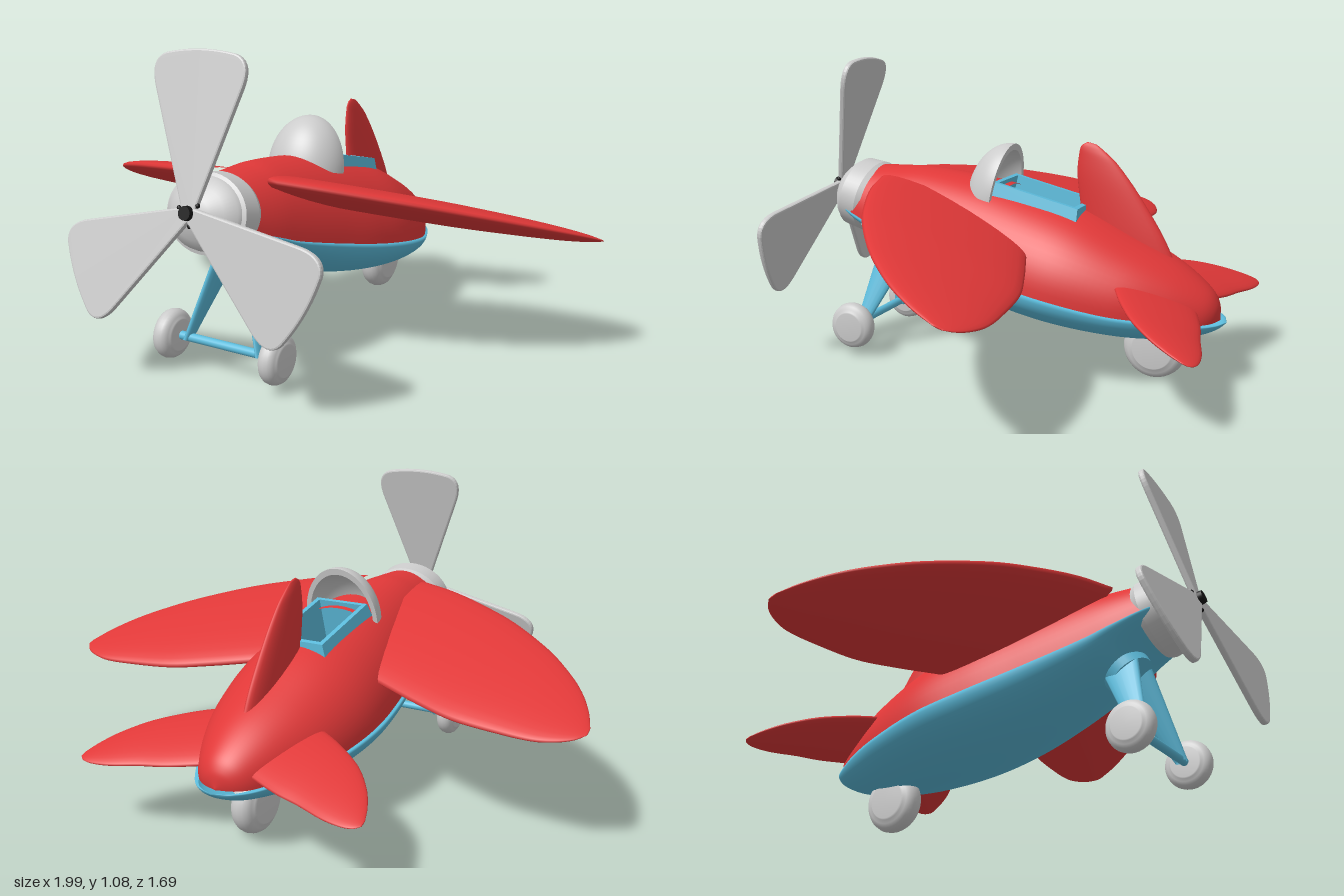
import * as THREE from 'three';

const RED = 0xe03838, BLUE = 0x5cbcdc, GREY = 0xcccccc, BLACK = 0x151515;
const mat = (color, extra = {}) => new THREE.MeshStandardMaterial({ color, ...extra });
const open = { side: THREE.DoubleSide };

function add(parent, name, geometry, material, pos = [0, 0, 0]) {
  const mesh = new THREE.Mesh(geometry, material);
  mesh.name = name;
  mesh.position.set(...pos);
  parent.add(mesh);
  return mesh;
}

// Skin over a list of cross-sections; skip(point) leaves holes
function loft(rings, closed = true, skip = () => false) {
  const n = rings[0].length, index = [];
  for (let i = 0; i < rings.length - 1; i++) {
    for (let j = 0; j < (closed ? n : n - 1); j++) {
      const k = (j + 1) % n;
      if (skip(rings[i][j], rings[i + 1][k])) continue;
      const a = i * n + j, b = a + n, c = i * n + k, d = c + n;
      index.push(a, b, c, b, d, c);
    }
  }
  const g = new THREE.BufferGeometry();
  g.setAttribute('position', new THREE.Float32BufferAttribute(rings.flat(2), 3));
  g.setIndex(index);
  g.computeVertexNormals();
  return g;
}

// Smooth hull half from rows of [z, half width, seam height, crown or keel height]
function hullHalf(rows, start, skip, lip) {
  const v = (r, a, b) => new THREE.Vector3(r[0], r[a], r[b]);
  const curve = (a, b) => new THREE.CatmullRomCurve3(rows.map(r => v(r, a, b)), false, 'catmullrom', 0.5);
  const c1 = curve(1, 2), c2 = curve(1, 3), rings = [];
  const steps = (rows.length - 1) * 8;
  for (let i = 0; i <= steps; i++) {
    const p = c1.getPoint(i / steps), q = c2.getPoint(i / steps), ring = [];
    for (let j = 0; j <= 32; j++) {
      const a = start + Math.PI * j / 32;
      ring.push([p.y * Math.cos(a), p.z + Math.abs(q.z - p.z) * Math.sin(a), p.x]);
    }
    if (lip) {
      ring.unshift([-p.y * 0.85, p.z, p.x]);
      ring.push([p.y * 0.85, p.z, p.x]);
    }
    rings.push(ring);
  }
  return loft(rings, false, skip);
}

// Leaf-shaped surface from rows of [span, leading z, trailing z], lying on y = base + slope * z
function leaf(rows, ratio, base = 0, slope = 0) {
  const lead = new THREE.CatmullRomCurve3(rows.map(r => new THREE.Vector3(...r)), false, 'catmullrom', 0.5);
  const rings = [], steps = (rows.length - 1) * 5;
  for (let i = 0; i <= steps + 1; i++) {
    const p = lead.getPoint(Math.min(i, steps) / steps);
    const zc = (p.y + p.z) / 2, h = i > steps ? 0 : (p.y - p.z) / 2, ring = [];
    for (let j = 0; j < 28; j++) {
      const a = j / 28 * Math.PI * 2, z = zc + h * Math.cos(a);
      ring.push([p.x, base + slope * z + ratio * h * Math.sin(a), z]);
    }
    rings.push(ring);
  }
  return loft(rings);
}

// Wheel with rounded tyre and raised hub caps, axle along x
function wheel(parent, name, r, pos) {
  const half = [[0, .44], [.62, .44], [.66, .38], [.78, .35], [.9, .27], [.97, .15], [1, 0]];
  const back = half.slice(0, -1).reverse().map(([a, b]) => [a, -b]);
  const pts = [...half, ...back].reverse().map(([a, b]) => new THREE.Vector2(a * r, b * r));
  const m = add(parent, name, new THREE.LatheGeometry(pts, 40), mat(GREY), pos);
  m.rotation.z = Math.PI / 2;
}

export function createModel() {
  const model = new THREE.Group();
  model.name = 'toyPlane';
  // Everything is measured from the propeller hub, nose along +z
  const plane = new THREE.Group();
  plane.name = 'plane';
  plane.rotation.set(-0.23, 0.091, 0, 'YXZ');
  plane.position.set(0.09, 0.6, 0.72);
  model.add(plane);

  // Fuselage: red upper shell with a cockpit opening, blue lower shell
  const upper = [
    [-.14, .152, -.04, .124], [-.25, .178, -.052, .153], [-.36, .198, -.064, .18], [-.58, .235, -.07, .207],
    [-.79, .268, -.07, .214], [-.99, .278, -.063, .207], [-1.19, .243, -.055, .168], [-1.34, .182, -.04, .13],
    [-1.45, .118, -.03, .083], [-1.5, .066, -.022, .04], [-1.522, 0, -.018, -.015]];
  const lower = [
    [-.015, .02, -.015, -.025], [-.07, .115, -.028, -.052], [-.14, .16, -.04, -.075], [-.25, .186, -.052, -.108],
    [-.36, .207, -.064, -.151], [-.58, .244, -.07, -.193], [-.79, .277, -.07, -.207], [-.99, .287, -.063, -.199],
    [-1.19, .252, -.055, -.173], [-1.34, .193, -.04, -.139], [-1.46, .125, -.03, -.09], [-1.52, .07, -.02, -.05],
    [-1.545, 0, -.018, -.02]];
  const inCockpit = ([x, y, z]) => y > 0.12 && Math.abs(x) < 0.108 && z < -.665 && z > -.968;
  add(plane, 'upperFuselage', hullHalf(upper, 0, (p, q) => inCockpit(p) && inCockpit(q)), mat(RED, open));
  add(plane, 'lowerFuselage', hullHalf(lower, Math.PI, undefined, true), mat(BLUE, open));

  // Cockpit tub: rows of [half width, front z, back z, y]
  const tub = [[.118, -.64, -.985, .165], [.103, -.65, -.972, .226], [.086, -.665, -.955, .226],
    [.075, -.67, -.83, .06], [0, -.74, -.74, .06]]
    .map(([x, f, b, y]) => [[x, y, f], [x, y, b], [-x, y, b], [-x, y, f]]);
  add(plane, 'cockpit', loft(tub), mat(BLUE, { ...open, flatShading: true }));

  // Windshield: quarter dome shell
  const shield = new THREE.Group();
  shield.name = 'windshield';
  shield.position.set(0, .163, -.667);
  shield.scale.set(.147, .192, .135);
  shield.rotation.x = 0.05;
  plane.add(shield);
  for (const [name, r] of [['outerGlass', 1], ['innerGlass', .88]]) {
    add(shield, name, new THREE.SphereGeometry(r, 32, 16, 0, Math.PI, 0, Math.PI / 2), mat(GREY, open));
  }
  add(shield, 'glassRim', new THREE.RingGeometry(.88, 1, 32, 1, 0, Math.PI), mat(GREY, open));

  // Wings, tailplanes and fin
  const wing = leaf([[.12, -.225, -.83], [.27, -.27, -.89], [.42, -.337, -.95], [.57, -.42, -1], [.74, -.549, -1.022],
    [.85, -.66, -1.027], [.92, -.75, -1.012], [.97, -.84, -.987], [1, -.92, -.955]], .13, .143, .1);
  const tail = leaf([[.05, -1.12, -1.44], [.2, -1.185, -1.495], [.3, -1.238, -1.52], [.4, -1.31, -1.55],
    [.47, -1.39, -1.56], [.51, -1.46, -1.555], [.53, -1.515, -1.54]], .15, .176, .114);
  for (const [side, s] of [['left', 1], ['right', -1]]) {
    add(plane, side + 'Wing', wing, mat(RED)).scale.x = s;
    add(plane, side + 'Tailplane', tail, mat(RED)).scale.x = s;
  }
  const fin = leaf([[.1, -.99, -1.34], [.2, -.955, -1.26], [.316, -.912, -1.14], [.39, -.9, -1.048],
    [.42, -.902, -.995], [.438, -.92, -.955]], .2);
  add(plane, 'tailFin', fin, mat(RED)).rotation.z = Math.PI / 2;

  // Engine cowl: band and stepped cone
  const lathe = (pts) => new THREE.LatheGeometry(pts.map(p => new THREE.Vector2(...p)), 48);
  const cowl = new THREE.Group();
  cowl.name = 'cowl';
  cowl.scale.y = 0.85;
  plane.add(cowl);
  add(cowl, 'cowlBand', lathe([[.15, -.17], [.158, -.15], [.158, -.15], [.153, -.085], [.153, -.085], [.14, -.08]]), mat(GREY, open)).rotation.x = Math.PI / 2;
  add(cowl, 'noseCone', lathe([[.142, -.09], [.135, -.065], [.1, -.04], [.06, -.018], [.03, -.01], [0, -.01]]), mat(GREY, open)).rotation.x = Math.PI / 2;

  // Propeller: three fan-shaped blades round a dark hub
  const prop = new THREE.Group();
  prop.name = 'propeller';
  prop.rotation.z = 0.045;
  plane.add(prop);
  const shape = new THREE.Shape();
  shape.moveTo(-.015, 0);
  shape.lineTo(-.148, .38);
  shape.quadraticCurveTo(-.178, .465, -.12, .482);
  shape.quadraticCurveTo(0, .506, .12, .482);
  shape.quadraticCurveTo(.178, .465, .148, .38);
  shape.lineTo(.015, 0);
  const bladeGeo = new THREE.ExtrudeGeometry(shape, {
    depth: .01, bevelThickness: .006, bevelSize: .006, bevelSegments: 2, curveSegments: 10 });
  bladeGeo.translate(0, 0, -.005).rotateY(0.07);
  for (let i = 0; i < 3; i++) {
    add(prop, 'blade', bladeGeo, mat(GREY)).rotation.z = i * Math.PI * 2 / 3;
  }
  add(prop, 'hub', new THREE.CylinderGeometry(.022, .026, .045, 20), mat(BLACK), [0, 0, .005]).rotation.x = Math.PI / 2;
  for (let i = 0; i < 9; i++) {
    const a = i / 9 * Math.PI * 2;
    add(prop, 'hubBolt', new THREE.SphereGeometry(.008, 10, 8), mat(BLACK), [.04 * Math.cos(a), .04 * Math.sin(a), .002]);
  }

  // Front landing gear: mount, two tapering legs, axle and wheels
  const mount = add(plane, 'gearMount', new THREE.CylinderGeometry(.09, .082, .05, 32), mat(BLUE), [0, -.132, -.305]);
  mount.rotation.x = -.38;
  const oval = (x, y, z, rx, rz) => Array.from({ length: 16 }, (_, j) => {
    const a = j / 16 * Math.PI * 2;
    return [x + rx * Math.cos(a), y, z + rz * Math.sin(a)];
  });
  const leg = loft([oval(.145, -.445, -.267, .012, .022), oval(.05, -.13, -.305, .019, .068)]);
  for (const [side, s] of [['left', 1], ['right', -1]]) {
    add(plane, side + 'GearLeg', leg, mat(BLUE, open)).scale.x = s;
    wheel(plane, side + 'FrontWheel', .085, [s * .21, -.435, -.267]);
  }
  add(plane, 'axle', new THREE.CylinderGeometry(.015, .015, .42, 16), mat(BLUE), [0, -.435, -.267]).rotation.z = Math.PI / 2;
  wheel(plane, 'rearWheel', .112, [0, -.186, -1.332]);

  // Stand on the ground
  model.updateMatrixWorld(true);
  plane.position.y -= new THREE.Box3().setFromObject(model, true).min.y;
  return model;
}
